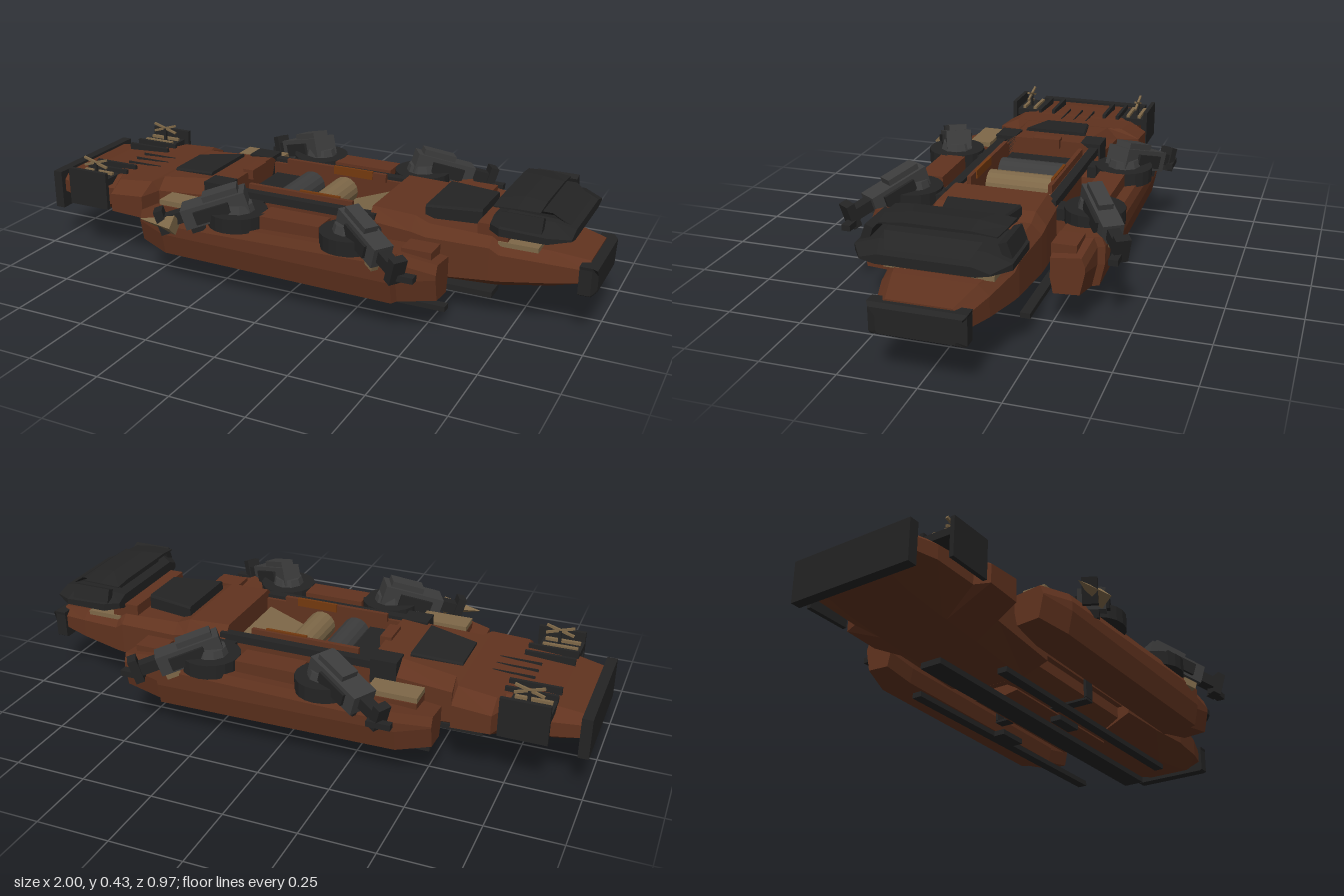
import * as THREE from 'three';

const mat = (name, color) => {
  const m = new THREE.MeshStandardMaterial({ color, flatShading: true });
  m.name = name;
  return m;
};

export function createModel() {
  const root = new THREE.Group();
  root.name = 'armouredSkiff';
  const hullBrown = mat('hullBrown', 0x61331f), black = mat('blackArmour', 0x242424);
  const grey = mat('gunGrey', 0x3c3c3c), tan = mat('tanMetal', 0x7e6848), rust = mat('rustRail', 0x74390f);

  const add = (name, geo, material, parent = root) => {
    const m = new THREE.Mesh(geo, material);
    m.name = name;
    parent.add(m);
    return m;
  };
  // Box given by its extents on each axis
  const box = (name, material, [x0, x1], [y0, y1], [z0, z1], parent = root) => {
    const m = add(name, new THREE.BoxGeometry(x1 - x0, y1 - y0, Math.abs(z1 - z0)), material, parent);
    m.position.set((x0 + x1) / 2, (y0 + y1) / 2, (z0 + z1) / 2);
    return m;
  };
  // The same box on both sides of the hull
  const pair = (name, material, xs, ys, [z0, z1]) =>
    [1, -1].map(s => box(name, material, xs, ys, [s * z0, s * z1]));

  // Closed skin over cross-sections [x, [[z, y], ...]] ordered by rising x
  const loft = (sections) => {
    const pos = [], idx = [], n = sections[0][1].length, last = sections.length - 1;
    for (const [x, pts] of sections) for (const [z, y] of pts) pos.push(x, y, z);
    for (let i = 0; i < last; i++) for (let j = 0; j < n; j++) {
      const a = i * n + j, b = i * n + (j + 1) % n, c = b + n, d = a + n;
      idx.push(a, b, c, a, c, d);
    }
    for (let j = 1; j < n - 1; j++) idx.push(0, j + 1, j, last * n, last * n + j, last * n + j + 1);
    const g = new THREE.BufferGeometry();
    g.setAttribute('position', new THREE.Float32BufferAttribute(pos, 3));
    g.setIndex(idx);
    const flat = g.toNonIndexed();
    flat.computeVertexNormals();
    return flat;
  };
  // Symmetric eight-sided section: heights from bottom to top, half widths likewise
  const oct = ([x, yb, y1, y2, yt, wb, wm, wt]) => {
    const right = [[-wb, yb], [-wm, y1], [-wm, y2], [-wt, yt]];
    return [x, [...right, ...right.map(([z, y]) => [-z, y]).reverse()]];
  };
  const hull = (name, rows, material = hullBrown) => add(name, loft(rows.map(oct)), material);

  // Main hull in stern, middle and bow sections
  hull('sternHull', [
    [-0.97, 0.145, 0.19, 0.235, 0.26, 0.12, 0.2, 0.17],
    [-0.88, 0.125, 0.19, 0.24, 0.275, 0.12, 0.225, 0.18],
    [-0.72, 0.11, 0.185, 0.25, 0.285, 0.12, 0.23, 0.18],
    [-0.7, 0.11, 0.185, 0.25, 0.285, 0.12, 0.28, 0.22],
    [-0.57, 0.1, 0.18, 0.26, 0.295, 0.12, 0.28, 0.21],
    [-0.55, 0.1, 0.15, 0.26, 0.3, 0.12, 0.2, 0.16],
    [-0.27, 0.095, 0.13, 0.28, 0.325, 0.1, 0.195, 0.13]]);
  hull('bayFloor', [
    [-0.28, 0.095, 0.13, 0.18, 0.2, 0.09, 0.15, 0.12],
    [0.28, 0.095, 0.13, 0.18, 0.2, 0.09, 0.15, 0.12]]);
  hull('bowHull', [
    [0.26, 0.095, 0.14, 0.29, 0.33, 0.1, 0.195, 0.16],
    [0.41, 0.095, 0.14, 0.28, 0.325, 0.1, 0.2, 0.165],
    [0.46, 0.095, 0.14, 0.27, 0.305, 0.1, 0.2, 0.165],
    [0.67, 0.105, 0.16, 0.27, 0.3, 0.1, 0.195, 0.165],
    [0.7, 0.11, 0.16, 0.25, 0.285, 0.1, 0.19, 0.16],
    [0.85, 0.135, 0.175, 0.24, 0.272, 0.09, 0.165, 0.13],
    [0.97, 0.165, 0.185, 0.225, 0.25, 0.08, 0.13, 0.1]]);

  // End plates
  box('sternPlate', black, [-1, -0.965], [0.13, 0.27], [-0.22, 0.22]);
  hull('nosePlate', [
    [0.945, 0.145, 0.15, 0.235, 0.245, 0.14, 0.148, 0.15],
    [0.985, 0.145, 0.15, 0.235, 0.245, 0.14, 0.148, 0.15],
    [1, 0.155, 0.165, 0.21, 0.235, 0.115, 0.12, 0.14]], black);

  // Bridge above the bow: body, raised windscreen, side posts and a thin arched roof
  hull('bridgeBody', [
    [0.67, 0.325, 0.335, 0.355, 0.372, 0.17, 0.2, 0.16],
    [0.71, 0.325, 0.335, 0.36, 0.385, 0.19, 0.238, 0.18],
    [0.86, 0.325, 0.335, 0.355, 0.38, 0.19, 0.238, 0.16],
    [0.925, 0.33, 0.34, 0.345, 0.36, 0.15, 0.195, 0.14]], black);
  hull('windscreen', [
    [0.7, 0.34, 0.342, 0.39, 0.405, 0.12, 0.13, 0.148],
    [0.85, 0.34, 0.342, 0.39, 0.403, 0.12, 0.13, 0.148],
    [0.91, 0.335, 0.336, 0.355, 0.362, 0.12, 0.125, 0.125]], black);
  hull('bridgeRoof', [
    [0.675, 0.412, 0.408, 0.412, 0.418, 0.13, 0.19, 0.13],
    [0.75, 0.414, 0.41, 0.414, 0.426, 0.13, 0.19, 0.1],
    [0.82, 0.41, 0.406, 0.41, 0.418, 0.13, 0.18, 0.1]], black);
  for (const s of [1, -1]) {
    const post = box('bridgePost', black, [0.7, 0.84], [0.355, 0.405], [s * 0.196, s * 0.222]);
    post.rotation.x = -s * 0.35;
  }
  pair('bowStep', tan, [0.69, 0.82], [0.272, 0.288], [0.1, 0.17]);
  box('bridgeNeck', hullBrown, [0.62, 0.72], [0.27, 0.338], [-0.165, 0.165]);
  box('bridgeStem', hullBrown, [0.72, 0.82], [0.26, 0.33], [-0.12, 0.12]);

  // Deck hatches
  hull('bowHatch', [
    [0.43, 0.28, 0.282, 0.343, 0.35, 0.125, 0.125, 0.12],
    [0.61, 0.28, 0.282, 0.343, 0.352, 0.09, 0.09, 0.085]], black);
  hull('sternHatch', [
    [-0.55, 0.295, 0.3, 0.302, 0.309, 0.085, 0.085, 0.08],
    [-0.38, 0.305, 0.312, 0.322, 0.328, 0.115, 0.115, 0.11]], black);
  pair('deckBlock', black, [-0.36, -0.27], [0.24, 0.325], [0.125, 0.2]);
  box('deckBridge', hullBrown, [-0.29, -0.25], [0.3, 0.335], [-0.05, 0.05]);

  // Open cargo bay: rails, rollers, ramp and the frame around it
  pair('bayWall', hullBrown, [-0.27, 0.28], [0.17, 0.3], [0.148, 0.17]);
  pair('bayRail', hullBrown, [-0.21, 0.18], [0.295, 0.325], [0.135, 0.15]);
  pair('bayStripe', rust, [-0.02, 0.13], [0.3, 0.33], [0.131, 0.141]);
  pair('bayFrame', black, [-0.28, 0.28], [0.285, 0.312], [0.16, 0.192]);
  for (const [name, x, material] of [['darkRoller', -0.1, grey], ['tanRoller', 0.03, tan]]) {
    const r = add(name, new THREE.CylinderGeometry(0.05, 0.05, 0.24, 16), material);
    r.rotation.x = Math.PI / 2;
    r.position.set(x, 0.25, 0);
  }
  const ramp = box('cargoRamp', tan, [0.07, 0.24], [0.24, 0.255], [-0.12, 0.12]);
  ramp.rotation.z = 0.35;
  box('bayPanel', black, [-0.25, -0.15], [0.2, 0.27], [-0.13, 0.13]);
  pair('hoopSide', black, [-0.02, 0.02], [0.1, 0.2], [0.178, 0.188]);
  box('hoopBottom', black, [-0.02, 0.02], [0.09, 0.098], [-0.188, 0.188]);

  // Stern equipment
  pair('sternShield', black, [-0.88, -0.72], [0.185, 0.32], [0.265, 0.28]);
  pair('sternRack', black, [-0.88, -0.74], [0.26, 0.285], [0.17, 0.265]);
  for (const z of [0.19, 0.235]) pair('rackBar', tan, [-0.87, -0.75], [0.285, 0.295], [z, z + 0.012]);
  for (const z of [0.1, 0.155]) pair('sternRib', black, [-0.88, -0.71], [0.27, 0.3], [z, z + 0.012]);
  for (const z of [-0.05, 0, 0.05]) box('deckSeam', black, [-0.78, -0.64], [0.28, 0.291], [z, z + 0.003]);
  for (const s of [1, -1]) {
    for (const tilt of [0.3, -0.3]) {
      const rod = add('crossedAntenna', new THREE.BoxGeometry(0.1, 0.008, 0.008), tan);
      rod.position.set(-0.8, 0.335, s * 0.225);
      rod.rotation.z = tilt;
    }
    box('antennaPost', black, [-0.805, -0.795], [0.28, 0.335], [s * 0.22, s * 0.23]);
  }

  // Floating keel and runners below
  hull('keel', [
    [-0.28, 0.045, 0.052, 0.058, 0.08, 0.04, 0.083, 0.045],
    [0.27, 0.042, 0.05, 0.056, 0.084, 0.04, 0.085, 0.045]]);
  box('centreRunner', black, [-0.62, 0.64], [0.022, 0.042], [-0.038, 0.038]);
  pair('outerRunner', black, [-0.48, 0.53], [0.012, 0.03], [0.15, 0.184]);
  pair('innerRunner', black, [-0.1, 0.01], [0, 0.018], [0.095, 0.135]);

  // Side pods with turrets
  for (const s of [1, -1]) {
    const pod = new THREE.Group();
    pod.name = s > 0 ? 'leftPod' : 'rightPod';
    root.add(pod);
    // Section: inner top, outer top, outer chine, outer bottom, inner bottom
    const sec = ([x, yb, yt, zi, zo]) => {
      const p = [[zi, yt - 0.01], [zo - 0.012, yt], [zo, yt - 0.03], [zo, yb + 0.08], [zo - 0.016, yb + 0.005], [zi + 0.01, yb], [zi, yb + 0.05]]
        .map(([z, y]) => [s * z, y]);
      return [x, s > 0 ? p : p.reverse()];
    };
    add('podHull', loft([
      [-0.53, 0.125, 0.24, 0.245, 0.35], [-0.42, 0.107, 0.25, 0.24, 0.385],
      [0.42, 0.1, 0.27, 0.24, 0.392], [0.43, 0.1, 0.27, 0.25, 0.37], [0.56, 0.128, 0.255, 0.255, 0.365]].map(sec)), hullBrown, pod);
    box('podTop', hullBrown, [-0.07, 0.15], [0.25, 0.3], [s * 0.25, s * 0.34], pod);
    box('podEndBlock', hullBrown, [0.43, 0.53], [0.24, 0.28], [s * 0.25, s * 0.33], pod);
    box('podCrateBase', hullBrown, [-0.47, -0.3], [0.22, 0.262], [s * 0.235, s * 0.32], pod);
    box('podCrate', tan, [-0.47, -0.3], [0.262, 0.28], [s * 0.235, s * 0.315], pod);

    for (const [x, dir] of [[-0.16, -1], [0.25, 1]]) {
      box('podStrut', hullBrown, [x - 0.035, x + 0.035], [0.2, 0.25], [s * 0.16, s * 0.26], pod);
      box('strutCap', black, [x - 0.035, x + 0.035], [0.25, 0.29], [s * 0.19, s * 0.25], pod);
      const disc = add('turretDisc', new THREE.CylinderGeometry(0.1, 0.1, 0.05, 20), black, pod);
      disc.position.set(x, 0.275, s * 0.315);
      const hub = add('turretHub', new THREE.CylinderGeometry(0.05, 0.06, 0.03, 10), grey, pod);
      hub.position.set(x, 0.31, s * 0.315);

      // Gun aims outward and down along its own x axis; the stern ones are broader
      const rear = dir < 0, w = rear ? 0.045 : 0.035, yaw = rear ? 0.48 : 0.58;
      const gun = new THREE.Group();
      gun.name = 'gun';
      gun.rotation.order = 'YZX';
      gun.rotation.set(0, rear ? Math.PI + s * yaw : -s * yaw, -0.3);
      gun.position.set(x, 0.335, s * 0.31);
      pod.add(gun);
      box('gunBody', grey, [-0.03, 0.19], [-0.04, 0.03], [-w, w], gun);
      box('gunTop', grey, [-0.01, 0.11], [0.03, 0.05], [-w * 0.7, w * 0.7], gun);
      for (const k of [1, -1]) box('gunSide', black, [0.03, 0.15], [-0.03, 0.015], [k * w, k * (w + 0.01)], gun);
      box('gunNeck', black, [0.19, 0.25], [-0.02, 0.02], [-0.02, 0.02], gun);
      box('gunFoot', rear ? black : tan, [0.13, 0.18], [-0.065, -0.04], [-0.022, 0.022], gun);
      box('gunMuzzle', black, [0.25, 0.28], [-0.04, 0.045], [-0.025, 0.025], gun);
      if (rear && s > 0) {
        // Spike on the left stern gun
        const tip = add('gunSpike', new THREE.ConeGeometry(0.035, 0.14, 4), tan, pod);
        tip.rotation.z = Math.PI / 2;
        tip.position.set(-0.4, 0.255, 0.437);
      } else if (rear) {
        box('gunBarrel', black, [-0.43, -0.35], [0.23, 0.25], [-0.455, -0.43], pod);
      } else {
        box('gunBarrel', black, [0.44, 0.52], [0.225, 0.245], [s * 0.425, s * 0.455], pod);
      }
    }
  }
  return root;
}
